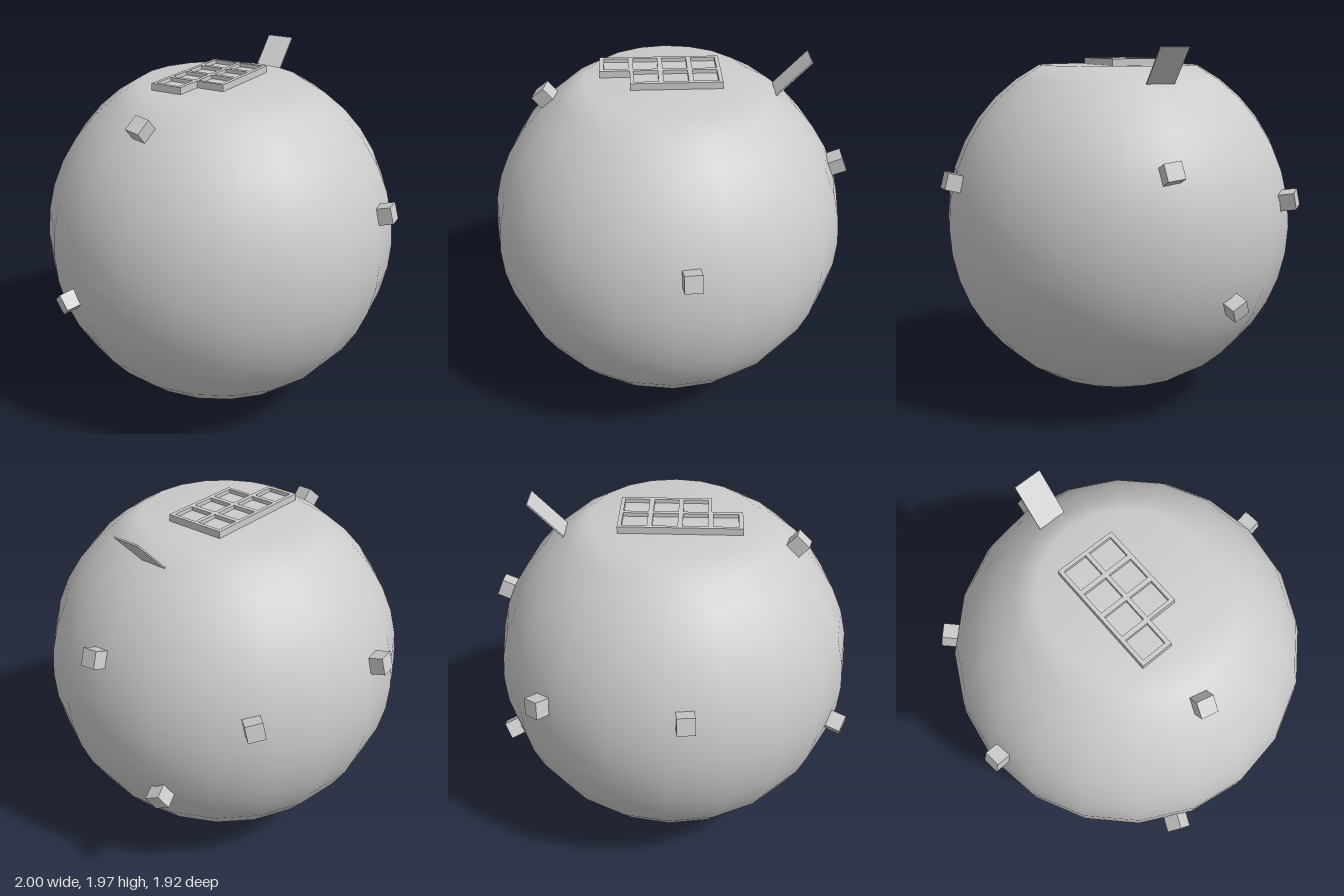
import * as THREE from 'three';

const R = 0.957;            // ball radius
const CY = 1.028;           // ball centre height
const TOP = CY + R * Math.cos(THREE.MathUtils.degToRad(27));   // flat top height

// L-shaped panel outline in (x, z), optionally with the seven key windows
function panelGeometry(depth, topY, windows) {
  const outline = [[-0.2, -0.275], [0.13, -0.275], [0.13, 0.195], [-0.025, 0.195], [-0.025, 0.352], [-0.2, 0.352]];
  const shape = new THREE.Shape(outline.map(([x, z]) => new THREE.Vector2(x, z)));
  if (windows) {
    for (let i = 0; i < 7; i++) {
      const x = i < 4 ? -0.18 : -0.025;
      const z = -0.255 + 0.1525 * (i % 4);
      const w = 0.133, d = 0.127;
      shape.holes.push(new THREE.Path([
        new THREE.Vector2(x, z), new THREE.Vector2(x, z + d),
        new THREE.Vector2(x + w, z + d), new THREE.Vector2(x + w, z),
      ]));
    }
  }
  const geo = new THREE.ExtrudeGeometry(shape, { depth, bevelEnabled: false });
  geo.rotateX(Math.PI / 2);
  geo.translate(0, topY, 0);
  return geo;
}

export function createModel() {
  const model = new THREE.Group();
  model.name = 'studdedBall';
  const grey = new THREE.MeshStandardMaterial({ color: 0xcccccc });
  const add = (name, geo, parent = model) => {
    const mesh = new THREE.Mesh(geo, grey);
    mesh.name = name;
    parent.add(mesh);
    return mesh;
  };

  // Ball: smooth 20-sided lathe with its top sliced flat
  const profile = [];
  for (let i = 20; i >= 3; i--) {
    const a = (i * Math.PI) / 20;
    profile.push(new THREE.Vector2(i === 20 ? 0 : R * Math.sin(a), CY + R * Math.cos(a)));
  }
  profile.push(new THREE.Vector2(0, TOP));
  add('ball', new THREE.LatheGeometry(profile, 20));

  // Key panel: solid base with a windowed frame on top
  const panel = new THREE.Group();
  panel.name = 'keyPanel';
  model.add(panel);
  add('panelBase', panelGeometry(0.02, TOP + 0.016, false), panel);
  add('panelFrame', panelGeometry(0.022, TOP + 0.036, true), panel);

  // Thin tab leaning out behind the flat top
  const tab = add('tab', new THREE.BoxGeometry(0.152, 0.25, 0.008));
  tab.position.set(-0.022, 1.889, -0.648);
  tab.rotation.x = -Math.atan2(0.175, 0.18);

  // Cube studs set radially around the ball: direction from centre, roll in degrees
  const studs = [
    ['frontUpperStud', -0.07, 0.75, 0.65, -8],
    ['leftStud', 0.95, 0.26, -0.075, 0],
    ['rightStud', -0.945, 0.26, 0.09, 0],
    ['frontLowerStud', -0.39, -0.17, 0.89, 40],
    ['bottomStud', -0.18, -0.98, 0.025, 0],
    ['backUpperStud', 0.06, 0.37, -0.91, 8],
    ['backLowerStud', -0.31, -0.33, -0.89, 30],
    ['backRightStud', -0.72, 0.16, -0.65, 10],
  ];
  const centre = new THREE.Vector3(0, CY, 0);
  const cube = new THREE.BoxGeometry(0.09, 0.09, 0.09);
  for (const [name, x, y, z, roll] of studs) {
    const dir = new THREE.Vector3(x, y, z).normalize();
    const stud = add(name, cube);
    stud.position.copy(centre).addScaledVector(dir, 0.98);
    stud.lookAt(centre.clone().addScaledVector(dir, 2));
    stud.rotateZ(THREE.MathUtils.degToRad(roll));
  }
  return model;
}
